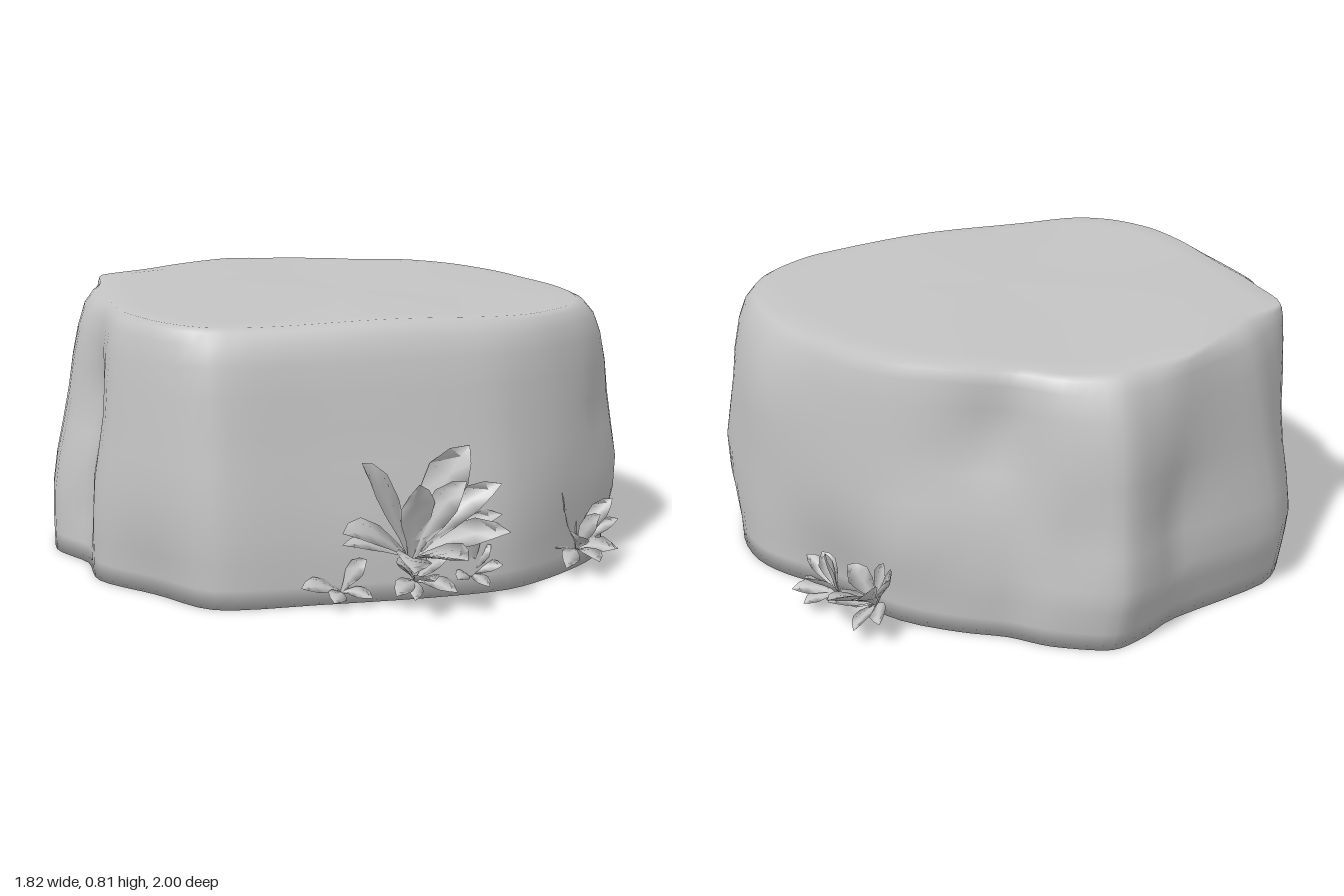
import * as THREE from 'three';
import { mergeGeometries } from 'three/addons/utils/BufferGeometryUtils.js';

const stone = new THREE.MeshStandardMaterial({ color: 0xc4c4c4 });
stone.name = 'stone grey';

// Rock outline, clockwise from the front: widest x, z and top rim x, z
const OUTLINE = [
  [0.17, 0.785, 0.15, 0.63], [-0.08, 0.76, -0.08, 0.61], [-0.4, 0.69, -0.4, 0.56], [-0.69, 0.62, -0.65, 0.5],
  [-0.83, 0.42, -0.75, 0.38], [-0.9, 0.2, -0.79, 0.2], [-0.865, 0, -0.77, 0], [-0.91, -0.2, -0.72, -0.2],
  [-0.835, -0.43, -0.68, -0.4], [-0.7, -0.5, -0.65, -0.5], [-0.62, -0.69, -0.59, -0.67], [-0.54, -0.82, -0.42, -0.72],
  [-0.38, -0.93, -0.28, -0.79], [-0.02, -0.95, -0.06, -0.88], [0.12, -0.99, 0.1, -0.87], [0.25, -1, 0.2, -0.86],
  [0.38, -0.88, 0.32, -0.79], [0.45, -0.76, 0.39, -0.7], [0.55, -0.65, 0.51, -0.61], [0.7, -0.45, 0.64, -0.43],
  [0.78, -0.25, 0.7, -0.25], [0.805, -0.05, 0.7, -0.05], [0.82, 0.13, 0.69, 0.12], [0.8, 0.35, 0.66, 0.29],
  [0.74, 0.52, 0.6, 0.43], [0.6, 0.63, 0.5, 0.54], [0.4, 0.72, 0.33, 0.62],
];
// Hollows pressed toward the rock's axis, or bulges if negative: x, y, z, radius, depth
const HOLLOWS = [
  [0.76, 0.02, -0.25, 0.22, 0.08], [0.76, 0, 0.5, 0.22, 0.07], [-0.83, 0, 0.43, 0.2, 0.05],
  [0.48, 0.6, -0.66, 0.12, 0.04], [0.48, 0.12, 0.68, 0.18, 0.02], [0.64, 0.45, 0.57, 0.13, 0.02],
  [0.76, 0.58, 0.1, 0.22, -0.04], [0.64, 0.3, -0.52, 0.12, -0.02], [-0.64, 0.4, -0.6, 0.13, 0.025],
  [-0.64, 0.12, -0.6, 0.13, 0.03], [0.02, 0.35, -0.95, 0.12, 0.025], [-0.85, 0.5, 0, 0.13, 0.04],
  [-0.87, 0.2, 0, 0.1, 0.02], [0.36, 0.3, -0.9, 0.12, 0.02], [0.18, 0.6, -0.93, 0.16, -0.02],
];
// Rings from the underside to the top: height, blend to the rim, scale
const RINGS = [
  [0.03, 0, 0], [0.005, 0, 1], [0.06, 0, 1], [0.13, 0, 1], [0.2, 0.02, 1], [0.3, 0.1, 1],
  [0.4, 0.22, 1], [0.5, 0.33, 1], [0.6, 0.42, 1], [0.69, 0.53, 1], [0.755, 0.66, 1],
  [0.79, 0.83, 1], [0.803, 1, 1], [0.806, 1, 0.9], [0.807, 1, 0.5], [0.807, 1, 0],
];

function rockGeometry() {
  const N = 108;
  const loop = (a, b) => new THREE.CatmullRomCurve3(
    OUTLINE.map((p) => new THREE.Vector3(p[a], 0, p[b])), true, 'catmullrom', 0.4);
  const outer = loop(0, 1), rim = loop(2, 3);
  const pos = [], index = [];
  RINGS.forEach(([y, blend, scale], k) => {
    for (let i = 0; i < N; i++) {
      const v = outer.getPoint(i / N).lerp(rim.getPoint(i / N), blend).multiplyScalar(scale);
      v.y = y;
      if (scale === 1) {
        let push = 0;
        for (const [x, hy, z, r, d] of HOLLOWS) {
          push += d * Math.exp(-((v.x - x) ** 2 + (y - hy) ** 2 + (v.z - z) ** 2) / (r * r));
        }
        const f = 1 - push / Math.hypot(v.x, v.z);
        v.x *= f;
        v.z *= f;
      }
      // the back leans inward at the foot, and the top rises slightly to the back
      if (v.z < 0 && y < 0.2) v.z *= 1 - 0.05 * (1 - y / 0.2);
      if (y > 0.75) v.y += -0.012 * v.z + 0.005 * Math.sin(v.x * 7 + v.z * 4);
      pos.push(v.x, v.y, v.z);
      if (k > 0) {
        const j = (i + 1) % N, lo = (k - 1) * N, hi = k * N;
        if (k > 1) index.push(lo + i, hi + i, lo + j);
        if (k < RINGS.length - 1) index.push(lo + j, hi + i, hi + j);
      }
    }
  });
  const g = new THREE.BufferGeometry();
  g.setAttribute('position', new THREE.Float32BufferAttribute(pos, 3));
  g.setIndex(index);
  g.computeVertexNormals();
  return g;
}

// Plump pointed, arched leaf with a diamond cross-section
function leafGeometry(root, tip, width, outward) {
  const mid = root.clone().lerp(tip, 0.5);
  mid.y += root.distanceTo(tip) * 0.2;
  const curve = new THREE.QuadraticBezierCurve3(root, mid, tip);
  const pos = [], index = [];
  const stations = [[0, 0.15], [0.2, 0.4], [0.42, 0.85], [0.65, 1], [0.85, 0.6], [1, 0.02]];
  stations.forEach(([t, w], k) => {
    const c = curve.getPoint(t), dir = curve.getTangent(t);
    const side = dir.clone().cross(outward).normalize();
    const normal = side.clone().cross(dir).normalize();
    const h = width * w * 0.58;
    for (const [s, n] of [[1, 0.15], [0, -0.05], [-1, 0.15], [0, -0.4]]) {
      const p = c.clone().addScaledVector(side, s * h).addScaledVector(normal, n * h);
      pos.push(p.x, p.y, p.z);
    }
    if (k) for (let i = 0; i < 4; i++) {
      const a = (k - 1) * 4 + i, b = (k - 1) * 4 + (i + 1) % 4;
      index.push(a, a + 4, b, b, a + 4, b + 4);
    }
  });
  const g = new THREE.BufferGeometry();
  g.setAttribute('position', new THREE.Float32BufferAttribute(pos, 3));
  g.setIndex(index);
  g.computeVertexNormals();
  return g;
}

// Tuft of leaves from one root: each leaf is tip x, y, z and width
function tuft(name, root, outward, leaves) {
  const r = new THREE.Vector3(...root), o = new THREE.Vector3(...outward).normalize();
  const parts = leaves.map(([x, y, z, w]) => leafGeometry(r, new THREE.Vector3(x, y, z), w, o));
  const mesh = new THREE.Mesh(mergeGeometries(parts), stone);
  mesh.name = name;
  return mesh;
}

export function createModel() {
  const model = new THREE.Group();
  model.name = 'rockWithPlants';
  const rock = new THREE.Mesh(rockGeometry(), stone);
  rock.name = 'rock';
  model.add(rock);

  const front = [0, 1, 0.75], right = [0.75, 1, -0.1];
  model.add(
    tuft('frontPlant', [-0.13, 0.12, 0.75], front, [
      [-0.3, 0.43, 0.78, 0.09], [0.04, 0.45, 0.78, 0.11], [-0.4, 0.26, 0.87, 0.09], [0.12, 0.34, 0.83, 0.08],
      [0.14, 0.24, 0.8, 0.07], [-0.24, 0.16, 0.99, 0.09], [-0.08, 0.18, 1, 0.1], [0.1, 0.22, 0.92, 0.09],
      [-0.14, 0.36, 0.82, 0.1], [-0.36, 0.2, 0.78, 0.05], [0, 0.36, 0.84, 0.08],
    ]),
    tuft('frontPlantLowLeaves', [-0.12, 0.06, 0.76], front, [
      [-0.22, 0.05, 0.84, 0.05], [-0.03, 0.04, 0.85, 0.05], [-0.13, 0.1, 0.9, 0.06], [-0.21, 0.14, 0.82, 0.05],
      [-0.04, 0.15, 0.83, 0.05], [-0.16, 0.03, 0.84, 0.04],
    ]),
    tuft('frontSproutRight', [0.05, 0.06, 0.77], front, [
      [0.05, 0.2, 0.8, 0.04], [0.14, 0.09, 0.81, 0.04], [-0.02, 0.07, 0.83, 0.04], [0.08, 0.04, 0.84, 0.04],
      [0.11, 0.15, 0.79, 0.04],
    ]),
    tuft('frontSproutLeft', [-0.33, 0.04, 0.71], front, [
      [-0.46, 0.07, 0.72, 0.05], [-0.27, 0.14, 0.75, 0.05], [-0.26, 0.03, 0.77, 0.04], [-0.38, 0.03, 0.77, 0.05],
    ]),
    tuft('cornerPlant', [0.48, 0.06, 0.66], front, [
      [0.4, 0.26, 0.7, 0.07], [0.6, 0.21, 0.67, 0.05], [0.32, 0.1, 0.71, 0.05], [0.63, 0.14, 0.66, 0.04],
      [0.47, 0.06, 0.81, 0.06], [0.38, 0.04, 0.77, 0.05], [0.57, 0.07, 0.74, 0.06], [0.52, 0.18, 0.73, 0.05],
      [0.62, 0.05, 0.68, 0.04], [0.43, 0.13, 0.76, 0.06],
    ]),
    tuft('sidePlantBack', [0.72, 0.07, -0.44], right, [
      [0.77, 0.23, -0.6, 0.07], [0.91, 0.16, -0.49, 0.07], [0.86, 0.18, -0.57, 0.07], [0.86, 0.1, -0.4, 0.06],
      [0.7, 0.2, -0.45, 0.05], [0.78, 0.19, -0.38, 0.06], [0.84, 0.05, -0.51, 0.05], [0.79, 0.08, -0.57, 0.05],
      [0.77, 0.05, -0.36, 0.04],
    ]),
    tuft('sidePlantFront', [0.76, 0.05, -0.28], right, [
      [0.88, 0.14, -0.3, 0.05], [0.87, 0.06, -0.2, 0.05], [0.78, 0.12, -0.13, 0.04], [0.81, 0.2, -0.3, 0.05],
      [0.83, 0.08, -0.38, 0.05], [0.86, 0.03, -0.25, 0.05], [0.77, 0.16, -0.21, 0.05], [0.8, 0.03, -0.18, 0.04],
    ]),
  );
  return model;
}
